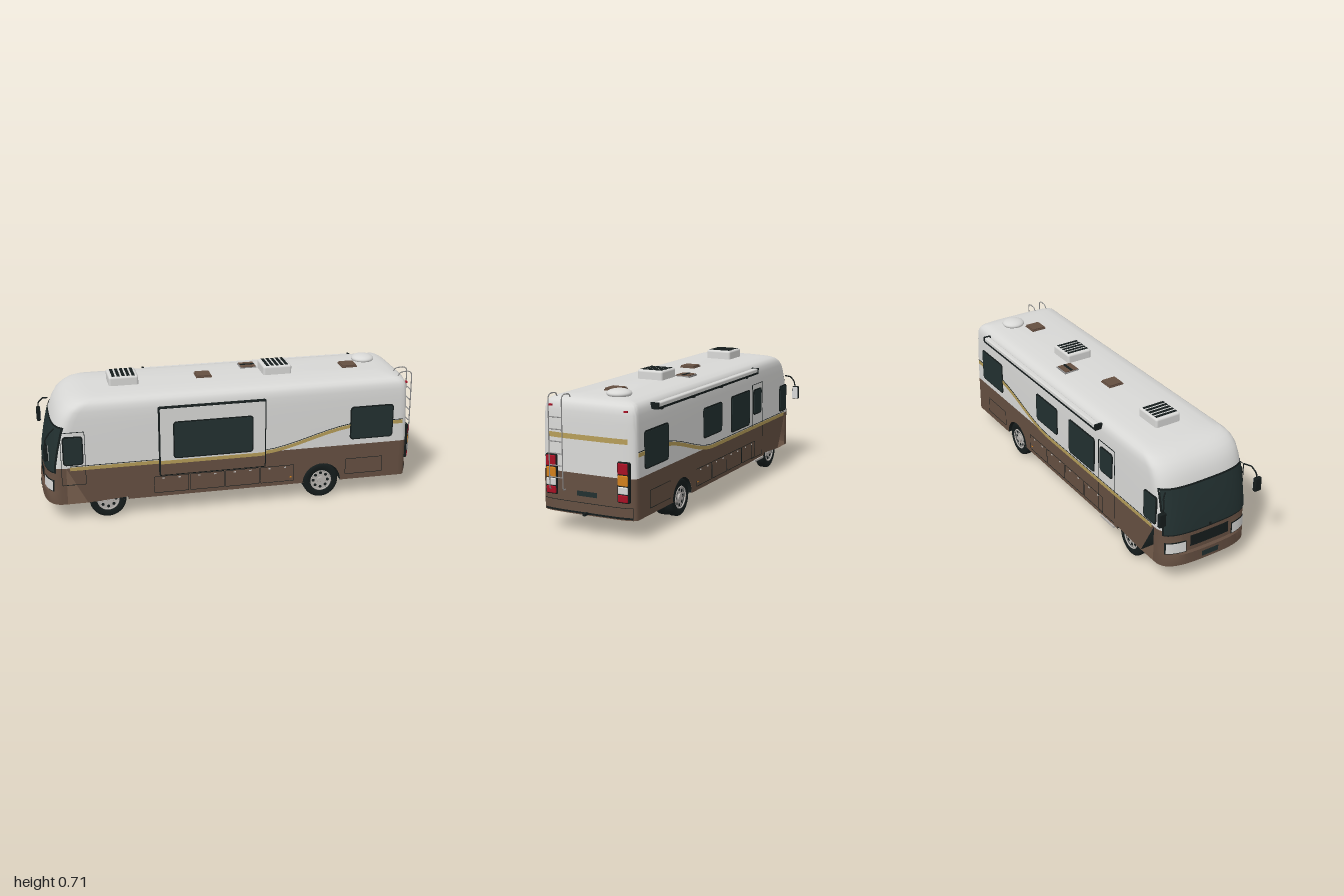
import * as THREE from 'three';
import { toCreasedNormals } from 'three/addons/utils/BufferGeometryUtils.js';
import { RoundedBoxGeometry } from 'three/addons/geometries/RoundedBoxGeometry.js';

const mat = (name, color, side = THREE.FrontSide) => {
  const m = new THREE.MeshStandardMaterial({ color, side });
  m.name = name;
  return m;
};
const M = {
  white: mat('whitePaint', 0xd8d8d6), brown: mat('brownPaint', 0x654f41, THREE.DoubleSide),
  gold: mat('goldStripe', 0xb59c58), glass: mat('darkGlass', 0x223030),
  black: mat('blackTrim', 0x151c1c, THREE.DoubleSide), metal: mat('greyMetal', 0x8e8e8e),
  silver: mat('silverRim', 0xb8b4b0), red: mat('redLens', 0xa81024), amber: mat('amberLens', 0xd2801c),
};

// Body outline by height: [y, front x, rear x, half width]
const LEVELS = [
  [0.095, -0.995, 0.966, 0.257], [0.155, -0.995, 0.966, 0.257], [0.165, -0.985, 0.966, 0.257],
  [0.295, -0.98, 0.965, 0.257], [0.4, -0.962, 0.963, 0.256], [0.5, -0.94, 0.96, 0.2545],
  [0.55, -0.922, 0.959, 0.253], [0.59, -0.9, 0.957, 0.251], [0.615, -0.873, 0.953, 0.247],
  [0.633, -0.845, 0.943, 0.238], [0.644, -0.815, 0.925, 0.222], [0.651, -0.78, 0.89, 0.18], [0.656, -0.74, 0.84, 0.11],
];
const WHEELS = [-0.67, 0.48], FLOOR = 0.095, BELT = 0.295, ARCH = 0.105;

function level(y) {
  let i = 1;
  while (i < LEVELS.length - 1 && LEVELS[i][0] < y) i++;
  const a = LEVELS[i - 1], b = LEVELS[i], t = (y - a[0]) / (b[0] - a[0]);
  return a.map((v, k) => v + (b[k] - v) * t);
}
// Rounded end of the body at one height: end -1 is the nose, +1 the tail
function endX(end, y, z) {
  const [, xf, xr, w] = level(y), t = Math.min(1, Math.abs(z) / w);
  const n = end < 0 ? 3 : 4, d = 1 - Math.pow(1 - t ** n, 1 / n);
  return end < 0 ? xf + (y < BELT ? -0.88 - xf : 0.1) * d : xr - (y < BELT ? xr - 0.915 : 0.05) * d;
}
function endRow(end, y) {
  const w = level(y)[3], row = [];
  for (let i = 0; i <= 24; i++) {
    const s = Math.sin((i / 24 - 0.5) * Math.PI);
    const z = -end * Math.sign(s) * w * Math.pow(Math.abs(s), end < 0 ? 2 / 3 : 0.5);
    row.push(new THREE.Vector3(endX(end, y, z), y, z));
  }
  return row;
}
const ring = (y) => [...endRow(-1, y), ...endRow(1, y)];

// Skin rows of points; optionally close the loop and the top
function skin(rows, closed = false) {
  const pos = [], idx = [], n = rows[0].length;
  rows.flat().forEach((p) => pos.push(p.x, p.y, p.z));
  for (let r = 0; r < rows.length - 1; r++) {
    for (let i = 0; i < (closed ? n : n - 1); i++) {
      const j = (i + 1) % n, a = r * n + i, b = r * n + j;
      idx.push(a, b, a + n, b, b + n, a + n);
    }
  }
  if (closed) {
    const top = rows[rows.length - 1], base = (rows.length - 1) * n;
    pos.push(0, top[0].y + 0.001, 0);
    for (let i = 0; i < n; i++) idx.push(base + i, base + (i + 1) % n, rows.length * n);
  }
  const g = new THREE.BufferGeometry();
  g.setAttribute('position', new THREE.Float32BufferAttribute(pos, 3));
  g.setIndex(idx);
  return toCreasedNormals(g, 0.7);
}
// Thin panel following the nose or tail
function endPatch(end, z0, z1, y0, y1, lift) {
  const rows = [];
  for (let r = 0; r <= 6; r++) {
    const y = y0 + (y1 - y0) * r / 6, row = [];
    for (let i = 0; i <= 24; i++) {
      const z = end < 0 ? z0 + (z1 - z0) * i / 24 : z1 - (z1 - z0) * i / 24;
      row.push(new THREE.Vector3(endX(end, y, z) + end * lift, y, z));
    }
    rows.push(row);
  }
  return skin(rows);
}
function roundRect(x0, x1, y0, y1, r) {
  const s = new THREE.Shape();
  s.absarc(x1 - r, y1 - r, r, 0, Math.PI / 2).absarc(x0 + r, y1 - r, r, Math.PI / 2, Math.PI);
  s.absarc(x0 + r, y0 + r, r, Math.PI, 1.5 * Math.PI).absarc(x1 - r, y0 + r, r, 1.5 * Math.PI, 2 * Math.PI);
  return s;
}
const stripeY = (x) => 0.291 + 0.116 * THREE.MathUtils.smoothstep(x, 0.12, 0.7);

export function createModel() {
  const root = new THREE.Group();
  root.name = 'motorhome';
  const add = (name, geo, m, x = 0, y = 0, z = 0, parent = root) => {
    const o = new THREE.Mesh(geo, m);
    o.name = name;
    o.position.set(x, y, z);
    parent.add(o);
    return o;
  };
  const box = (name, m, x0, x1, y0, y1, z0, z1) =>
    add(name, new THREE.BoxGeometry(x1 - x0, y1 - y0, z1 - z0), m, (x0 + x1) / 2, (y0 + y1) / 2, (z0 + z1) / 2);
  const tube = (name, pts, r, m, n = 24) => add(name,
    new THREE.TubeGeometry(new THREE.CatmullRomCurve3(pts.map((p) => new THREE.Vector3(...p)), false, 'catmullrom', 0.2), n, r, 6), m);
  // Flat plate on side s whose outer face lies at |z| = zOut
  const plate = (name, shape, m, s, zOut, depth = 0.008) =>
    add(name, new THREE.ExtrudeGeometry(shape, { depth, bevelEnabled: false, curveSegments: 6 }), m, 0, 0, s > 0 ? zOut - depth : -zOut);
  const sideWindow = (s, x0, x1, y0, y1, z = 0.259) => {
    plate('windowFrame', roundRect(x0, x1, y0, y1, 0.018), M.black, s, z);
    plate('windowGlass', roundRect(x0 + 0.007, x1 - 0.007, y0 + 0.007, y1 - 0.007, 0.013), M.glass, s, z + 0.002);
  };
  const seam = (name, s, x0, x1, y0, y1) => {
    const shape = roundRect(x0, x1, y0, y1, 0.006);
    shape.holes.push(roundRect(x0 + 0.0025, x1 - 0.0025, y0 + 0.0025, y1 - 0.0025, 0.004));
    plate(name, shape, M.black, s, 0.2578, 0.003);
  };
  const stripe = (s, x0, x1, lo, hi, m, z) => {
    const top = [], bottom = [];
    for (let i = 0; i <= 30; i++) {
      const x = x0 + (x1 - x0) * i / 30;
      top.unshift(new THREE.Vector2(x, stripeY(x) + hi));
      bottom.push(new THREE.Vector2(x, stripeY(x) + lo));
    }
    plate('sideStripe', new THREE.Shape([...bottom, ...top]), m, s, z, 0.004);
  };

  // Body shell
  add('upperBody', skin(LEVELS.filter((l) => l[0] >= BELT).map((l) => ring(l[0])), true), M.white);
  const lower = LEVELS.filter((l) => l[0] <= BELT).map((l) => l[0]);
  add('lowerNose', skin(lower.map((y) => endRow(-1, y))), M.brown);
  add('lowerTail', skin(lower.map((y) => endRow(1, y))), M.brown);
  const skirt = new THREE.Shape();
  skirt.moveTo(-0.88, FLOOR);
  WHEELS.forEach((x) => skirt.absarc(x, FLOOR, ARCH, Math.PI, 0, true));
  skirt.lineTo(0.915, FLOOR).lineTo(0.915, BELT).lineTo(-0.88, BELT);
  const floor = new THREE.Shape(ring(FLOOR + 0.0001).map((p) => new THREE.Vector2(p.x, p.z)));
  for (const s of [1, -1]) {
    add('lowerSide', new THREE.ShapeGeometry(skirt, 24), M.brown, 0, 0, s * 0.257);
    for (const x of WHEELS) {
      floor.holes.push(new THREE.Path([[-1, 0.13], [1, 0.13], [1, 0.2565], [-1, 0.2565]].map(([a, z]) => new THREE.Vector2(x + a * ARCH, s * z))));
      const well = add('wheelWell', new THREE.CylinderGeometry(ARCH, ARCH, 0.126, 24, 1, true, Math.PI / 2, Math.PI), M.black, x, FLOOR, s * 0.193);
      well.rotation.x = Math.PI / 2;
      add('wheelWellWall', new THREE.CircleGeometry(ARCH, 24, 0, Math.PI), M.black, x, FLOOR, s * 0.13);
    }
  }
  add('floor', new THREE.ShapeGeometry(floor), M.brown, 0, FLOOR, 0).rotation.x = Math.PI / 2;
  for (const z of [-0.1, 0, 0.1]) box('floorRail', M.black, -0.75, 0.85, 0.09, 0.096, z - 0.004, z + 0.004);

  // Wheels
  const tyre = new THREE.LatheGeometry([[0.056, -0.024], [0.084, -0.026], [0.094, -0.021], [0.096, -0.012], [0.093, -0.01], [0.096, -0.008],
    [0.096, 0.008], [0.093, 0.01], [0.096, 0.012], [0.094, 0.021], [0.084, 0.026], [0.056, 0.024], [0.054, 0.012]].map((p) => new THREE.Vector2(...p)), 36);
  const disc = (r, d) => new THREE.CylinderGeometry(r, r, d, 24).rotateX(Math.PI / 2);
  WHEELS.forEach((x, k) => {
    for (const s of [1, -1]) {
      for (const z of k ? [0.221, 0.165] : [0.221]) {
        const w = new THREE.Group();
        w.name = k ? 'rearWheel' : 'frontWheel';
        w.position.set(x, 0.096, s * z);
        if (s < 0) w.rotation.y = Math.PI;
        root.add(w);
        add('tyre', tyre, M.black, 0, 0, 0, w).rotation.x = Math.PI / 2;
        add('rimRing', new THREE.TorusGeometry(0.055, 0.004, 6, 30), M.silver, 0, 0, 0.023, w);
        add('rimDisc', disc(0.056, 0.03), M.silver, 0, 0, 0.001, w);
        add('hub', disc(0.018, 0.012), M.silver, 0, 0, 0.02, w);
        for (let i = 0; i < 8; i++) {
          const a = i * Math.PI / 4;
          add('rimHole', disc(0.008, 0.003), M.black, 0.04 * Math.cos(a), 0.04 * Math.sin(a), 0.0165, w);
        }
      }
    }
    add('axle', disc(0.017, 0.3), M.black, x, 0.094, 0);
  });

  // Nose: windscreen, grille, lamps
  add('windscreenFrame', endPatch(-1, -0.247, 0.247, 0.268, 0.515, 0.004), M.black);
  add('windscreen', endPatch(-1, -0.241, 0.241, 0.276, 0.507, 0.006), M.glass);
  box('wiperPost', M.black, -0.988, -0.98, 0.27, 0.29, -0.006, 0.006);
  add('grille', endPatch(-1, -0.115, 0.115, 0.19, 0.25, 0.005), M.black);
  add('frontPlate', endPatch(-1, -0.05, 0.05, 0.112, 0.142, 0.003), M.glass);
  for (const s of [1, -1]) {
    const a = [s * 0.135, s * 0.24].sort((p, q) => p - q);
    add('headlightSurround', endPatch(-1, a[0], a[1], 0.165, 0.23, 0.004), M.black);
    add('headlight', endPatch(-1, a[0] + 0.005, a[1] - 0.005, 0.17, 0.225, 0.007), M.white);
    // Mirrors
    tube('mirrorArm', [[-0.93, 0.51, s * 0.235], [-0.955, 0.5, s * 0.262], [-0.978, 0.47, s * 0.275], [-0.98, 0.43, s * 0.284]], 0.004, M.black);
    add('mirrorHousing', new RoundedBoxGeometry(0.022, 0.076, 0.04, 2, 0.006), M.black, -0.98, 0.403, s * 0.286);
    box('mirrorGlass', M.white, -0.97, -0.967, 0.369, 0.437, s * 0.286 - 0.017, s * 0.286 + 0.017);
  }

  // Tail: lamps, stripe, bumper, plate
  add('tailStripe', endPatch(1, -0.215, 0.215, 0.457, 0.482, 0.002), M.gold);
  add('rearPlate', endPatch(1, -0.055, 0.055, 0.187, 0.212, 0.004), M.glass);
  add('rearBumperSeam', endPatch(1, -0.242, 0.242, 0.1, 0.156, 0.002), M.black);
  add('rearBumper', endPatch(1, -0.24, 0.24, 0.11, 0.154, 0.004), M.brown);
  for (const s of [1, -1]) {
    const z = s * 0.197;
    add('tailLampBacking', new RoundedBoxGeometry(0.03, 0.197, 0.065, 2, 0.008), M.black, 0.956, 0.277, z);
    [[M.red, 0.317, 0.37], [M.amber, 0.262, 0.313], [M.white, 0.223, 0.258], [M.red, 0.184, 0.219]].forEach(([m, y0, y1]) =>
      add('tailLens', new RoundedBoxGeometry(0.03, y1 - y0, 0.053, 2, 0.005), m, 0.961, (y0 + y1) / 2, z));
    box('markerLamp', M.red, 0.935, 0.957, 0.606, 0.614, s * 0.205 - 0.009, s * 0.205 + 0.009);
  }
  box('hitch', M.black, 0.95, 1.0, 0.1, 0.112, -0.007, 0.007);

  // Ladder
  for (const z of [0.122, 0.196]) {
    tube('ladderRail', [[0.962, 0.21, z], [0.985, 0.22, z], [0.985, 0.63, z], [0.978, 0.66, z], [0.96, 0.667, z], [0.92, 0.663, z], [0.905, 0.64, z]], 0.003, M.metal, 50);
  }
  for (let i = 0; i < 6; i++) add('ladderRung', disc(0.0028, 0.074), M.metal, 0.985, 0.267 + i * 0.0585, 0.159);

  // Side windows, doors and lockers
  for (const s of [1, -1]) {
    sideWindow(s, -0.895, -0.79, 0.31, 0.467);
    sideWindow(s, 0.63, 0.87, 0.325, 0.51);
    seam('rearLocker', s, 0.61, 0.82, 0.125, 0.215);
    for (let i = 0; i < 4; i++) {
      const x = -0.43 + i * 0.19;
      seam('locker', s, x, x + 0.185, 0.115, 0.208);
      for (const d of [0.05, 0.135]) box('lockerLatch', M.silver, x + d - 0.006, x + d + 0.006, 0.193, 0.199, s * 0.2575 - 0.002, s * 0.2575 + 0.002);
    }
    stripe(s, -0.86, 0.925, -0.011, 0.008, M.gold, 0.2582);
    stripe(s, -0.86, 0.925, 0.011, 0.014, M.black, 0.2582);
    box('sideMarker', M.amber, 0.3, 0.312, 0.135, 0.141, s * 0.2575 - 0.002, s * 0.2575 + 0.002);
  }
  seam('driverDoor', 1, -0.905, -0.78, 0.2, 0.49);
  sideWindow(-1, 0.018, 0.242, 0.35, 0.51);
  sideWindow(-1, -0.35, -0.098, 0.315, 0.515);
  sideWindow(-1, -0.515, -0.4, 0.36, 0.505);
  seam('entryDoor', -1, -0.535, -0.385, 0.11, 0.535);
  box('entryStep', M.silver, -0.54, -0.42, 0.086, 0.097, -0.265, -0.19);

  // Slide-out room
  add('slideOutFrame', new RoundedBoxGeometry(0.57, 0.38, 0.03, 2, 0.008), M.black, -0.117, 0.402, 0.253);
  plate('slideOutUpper', roundRect(-0.394, 0.16, BELT, 0.584, 0.004), M.white, 1, 0.27, 0.004);
  plate('slideOutLower', roundRect(-0.394, 0.16, 0.22, BELT, 0.004), M.brown, 1, 0.27, 0.004);
  stripe(1, -0.394, 0.16, -0.011, 0.008, M.gold, 0.2715);
  sideWindow(1, -0.327, 0.097, 0.308, 0.512, 0.272);

  // Awning
  add('awningCase', new RoundedBoxGeometry(1.17, 0.028, 0.03, 2, 0.007), M.white, 0.192, 0.616, -0.27);
  box('awningLip', M.black, -0.395, 0.78, 0.599, 0.61, -0.286, -0.25);
  for (const x of [-0.398, 0.782]) box('awningCap', M.black, x - 0.005, x + 0.005, 0.599, 0.631, -0.286, -0.245);
  for (const x of [-0.3, 0.03, 0.36, 0.7]) box('awningBracket', M.black, x - 0.007, x + 0.007, 0.585, 0.605, -0.264, -0.249);

  // Roof equipment
  for (const x of [-0.548, 0.276]) {
    add('airConditioner', new RoundedBoxGeometry(0.155, 0.06, 0.145, 3, 0.012), M.white, x, 0.674, -0.003);
    for (let i = 0; i < 5; i++) {
      const gx = x + (i - 2) * 0.026;
      box('airGrille', M.black, gx - 0.008, gx + 0.008, 0.7, 0.7055, -0.065, 0.06);
    }
  }
  for (const x of [-0.117, 0.687]) {
    box('ventBase', M.brown, x - 0.042, x + 0.042, 0.65, 0.662, -0.042, 0.042);
    box('ventLid', M.brown, x - 0.038, x + 0.038, 0.662, 0.669, -0.038, 0.038);
  }
  box('fridgeVentBase', M.metal, 0.104, 0.194, 0.645, 0.66, -0.152, -0.066);
  box('fridgeVent', M.brown, 0.109, 0.189, 0.66, 0.664, -0.147, -0.071);
  box('fridgeVentSlot', M.black, 0.11, 0.188, 0.661, 0.6655, -0.117, -0.102);
  const dome = add('satelliteDome', new THREE.SphereGeometry(0.062, 28, 16), M.white, 0.8, 0.664, -0.084);
  dome.scale.y = 0.38;
  return root;
}
